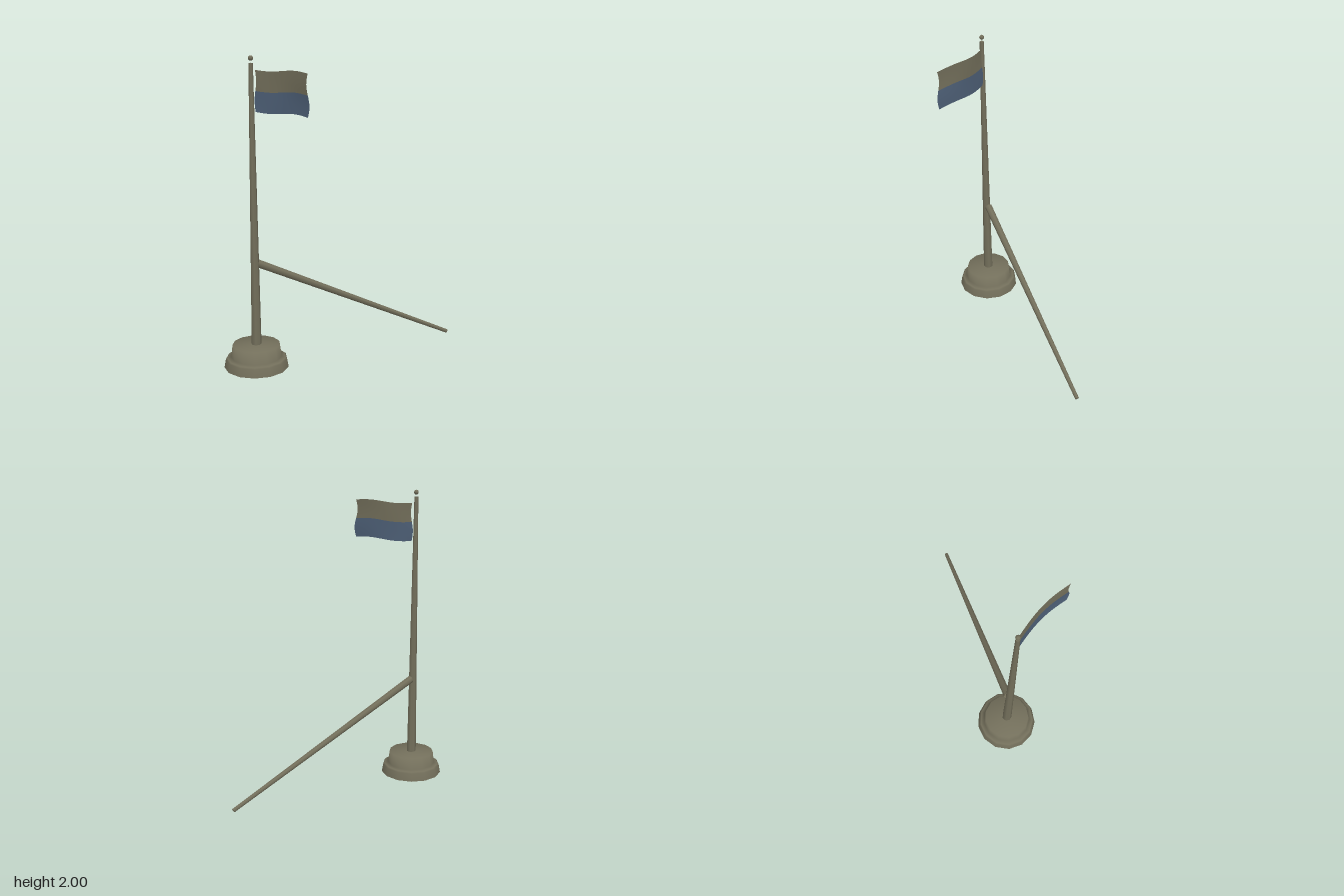
import * as THREE from 'three';

const POLE_X = -0.525, POLE_Z = -0.225;

export function createModel() {
  const model = new THREE.Group();
  const stone = new THREE.MeshStandardMaterial({ color: 0x736f5b, side: THREE.DoubleSide });
  stone.name = 'weathered olive';
  const blue = new THREE.MeshStandardMaterial({ color: 0x4e6077, side: THREE.DoubleSide });
  blue.name = 'slate blue';

  const add = (name, geometry, material) => {
    const mesh = new THREE.Mesh(geometry, material);
    mesh.name = name;
    model.add(mesh);
    return mesh;
  };

  // Stepped base, hollow underneath
  const profile = [[0.21, 0], [0.2, 0.055], [0.19, 0.063], [0.165, 0.07], [0.155, 0.15], [0, 0.152]]
    .map(([r, y]) => new THREE.Vector2(r, y));
  add('base', new THREE.LatheGeometry(profile, 13, Math.PI / 2), stone)
    .position.set(POLE_X, 0, POLE_Z);

  // Tapered pole
  add('pole', new THREE.CylinderGeometry(0.014, 0.033, 1.815, 7), stone)
    .position.set(POLE_X, 1.0475, POLE_Z);

  // Finial ball
  add('finial', new THREE.SphereGeometry(0.016, 8, 6), stone)
    .position.set(POLE_X, 1.984, POLE_Z);

  // Slanted brace, thinner toward the ground
  const top = new THREE.Vector3(-0.505, 0.693, -0.222);
  const foot = new THREE.Vector3(0.72, 0.038, 0.422);
  const along = top.clone().sub(foot);
  const brace = add('brace', new THREE.CylinderGeometry(0.026, 0.013, along.length(), 7), stone);
  brace.position.copy(top).add(foot).multiplyScalar(0.5);
  brace.quaternion.setFromUnitVectors(new THREE.Vector3(0, 1, 0), along.normalize());

  // Waving flag: two stripes, each a rippled sheet
  const stripe = (name, yLow, yHigh, material) => {
    const geometry = new THREE.PlaneGeometry(1, 1, 16, 6);
    const p = geometry.attributes.position;
    for (let i = 0; i < p.count; i++) {
      const u = p.getX(i) + 0.5;
      const y = yLow + (yHigh - yLow) * (p.getY(i) + 0.5);
      const v = (1.915 - y) / 0.255;
      const z = -0.203 + 0.43 * u - 0.012 * Math.sin(v * Math.PI * 2) * (u - 0.5 < 0 ? -0.7 + 3.4 * u : 1);
      const x = -0.511 + 0.025 * Math.sin(u * Math.PI);
      p.setXYZ(i, x, y - 0.007 * Math.sin(u * Math.PI * 2 + 0.2), z);
    }
    geometry.computeVertexNormals();
    // Turn the sheet so its front looks toward +x
    geometry.index.array.reverse();
    geometry.computeVertexNormals();
    add(name, geometry, material);
  };
  stripe('flagUpperStripe', 1.788, 1.915, stone);
  stripe('flagLowerStripe', 1.66, 1.788, blue);

  return model;
}
